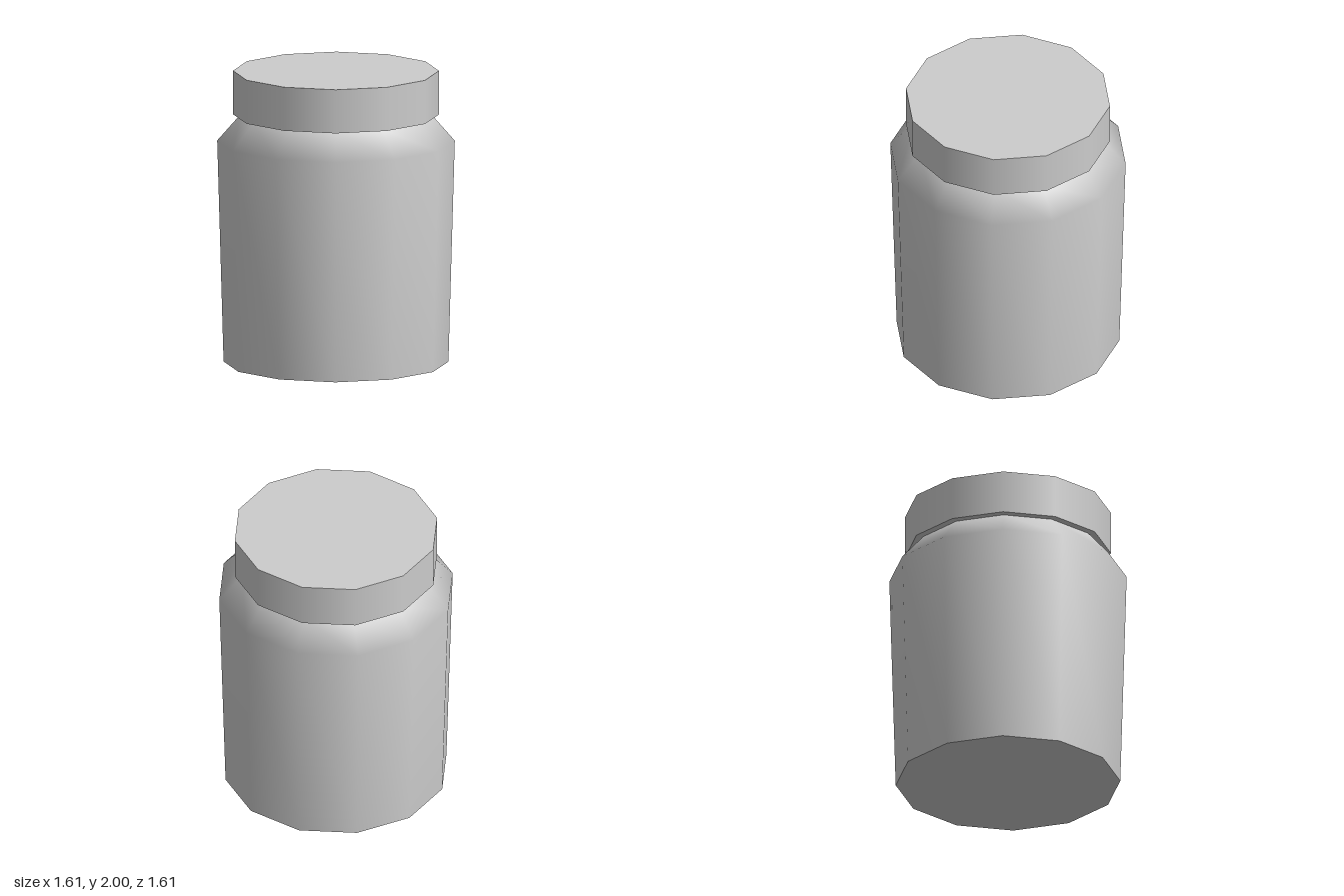
import * as THREE from 'three';

export function createModel() {
  const model = new THREE.Group();
  const gray = new THREE.MeshStandardMaterial({ color: 0xcccccc });
  gray.name = 'plain gray';
  const sides = 12;
  const baseRadius = 0.76;

  const add = (name, geometry, y = 0) => {
    const mesh = new THREE.Mesh(geometry, gray);
    mesh.name = name;
    mesh.position.y = y;
    model.add(mesh);
    return mesh;
  };

  // Slightly flared body with a smooth shoulder narrowing to the neck
  const profile = [[baseRadius, 0], [0.803, 1.52], [0.645, 1.7]]
    .map(([r, y]) => new THREE.Vector2(r, y));
  add('jarBody', new THREE.LatheGeometry(profile, sides));

  // Flat underside
  add('jarBase', new THREE.CircleGeometry(baseRadius, sides).rotateX(Math.PI / 2));

  // Overhanging flat lid
  add('lid', new THREE.CylinderGeometry(0.696, 0.696, 0.3, sides), 1.85);

  return model;
}
